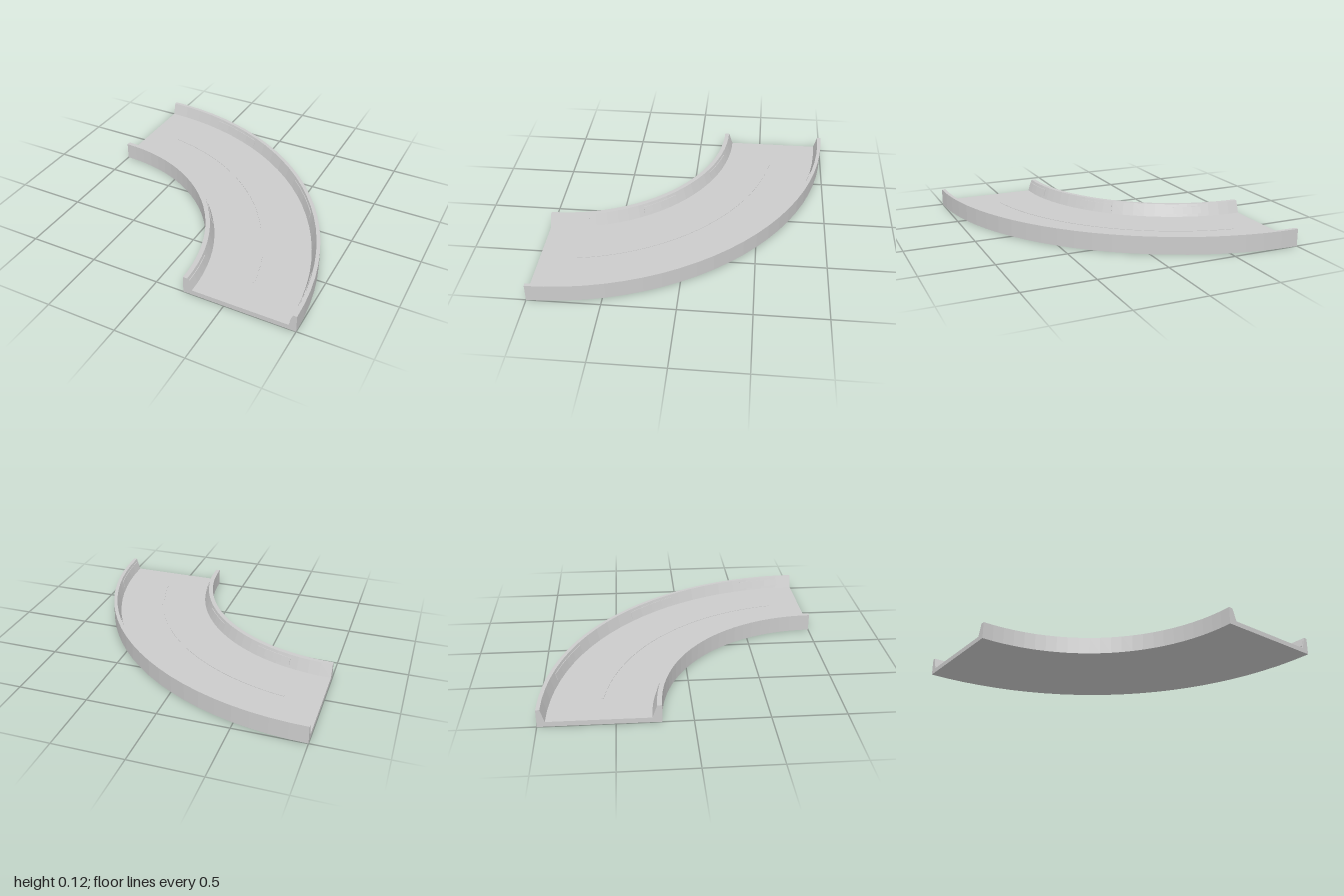
import * as THREE from 'three';

const CENTRE = { x: -1, z: 1 }; // pivot of the quarter turn
const DEG = Math.PI / 180;

// Sweeps a closed counter-clockwise (radius, height) profile round the pivot, with capped ends.
// Angles are in degrees, from 0 at the left end of the bend to 90 at the front end.
function sweep(profile, from, to, segments) {
  const pts = profile.map(([r, y]) => new THREE.Vector2(r, y));
  const pos = [];
  const put = (p, deg) => pos.push(
    CENTRE.x + p.x * Math.sin(deg * DEG), p.y, CENTRE.z - p.x * Math.cos(deg * DEG));
  for (let i = 0; i < segments; i++) {
    const a = from + (to - from) * i / segments;
    const b = from + (to - from) * (i + 1) / segments;
    pts.forEach((p, k) => {
      const q = pts[(k + 1) % pts.length];
      put(p, a); put(q, a); put(q, b);
      put(p, a); put(q, b); put(p, b);
    });
  }
  for (const [i, j, k] of THREE.ShapeUtils.triangulateShape(pts, [])) {
    put(pts[i], to); put(pts[j], to); put(pts[k], to);
    put(pts[i], from); put(pts[k], from); put(pts[j], from);
  }
  const geometry = new THREE.BufferGeometry();
  geometry.setAttribute('position', new THREE.Float32BufferAttribute(pos, 3));
  geometry.computeVertexNormals();
  return geometry;
}

export function createModel() {
  const group = new THREE.Group();
  const material = new THREE.MeshStandardMaterial({ color: 0xcccccc, flatShading: true });
  const add = (name, geometry) => {
    const mesh = new THREE.Mesh(geometry, material);
    mesh.name = name;
    group.add(mesh);
  };

  const FLOOR = 0.035, TOP = 0.125;
  const inner = { foot: 1.268, rim: 1.237 };
  const outer = { foot: 1.947, rim: 1.974 };

  // Curved channel: floor with a sloping kerb wall along each side
  add('track', sweep([
    [1.205, 0], [2, 0], [2, TOP], [outer.rim, TOP],
    [outer.foot, FLOOR], [inner.foot, FLOOR], [inner.rim, TOP], [1.205, TOP],
  ], 0, 90, 24));

  // Thin lane line along the middle of the floor
  add('centreLine', sweep([
    [1.6, FLOOR - 0.005], [1.615, FLOOR - 0.005], [1.615, FLOOR + 0.003], [1.6, FLOOR + 0.003],
  ], 9, 81, 24));

  // Three thin panels set on the sloping face of each wall
  const LOW = 0.055, HIGH = 0.105, RAISE = 0.004;
  const slope = (wall, y) => wall.foot + (wall.rim - wall.foot) * (y - FLOOR) / (TOP - FLOOR);
  for (const start of [14, 45.4, 77]) {
    for (const [name, wall, near, far] of [
      ['innerWallPanel', inner, -0.006, RAISE],
      ['outerWallPanel', outer, -RAISE, 0.006],
    ]) {
      const low = slope(wall, LOW), high = slope(wall, HIGH);
      add(name, sweep([
        [low + near, LOW], [low + far, LOW], [high + far, HIGH], [high + near, HIGH],
      ], start, start + 12.7, 4));
    }
  }
  return group;
}
